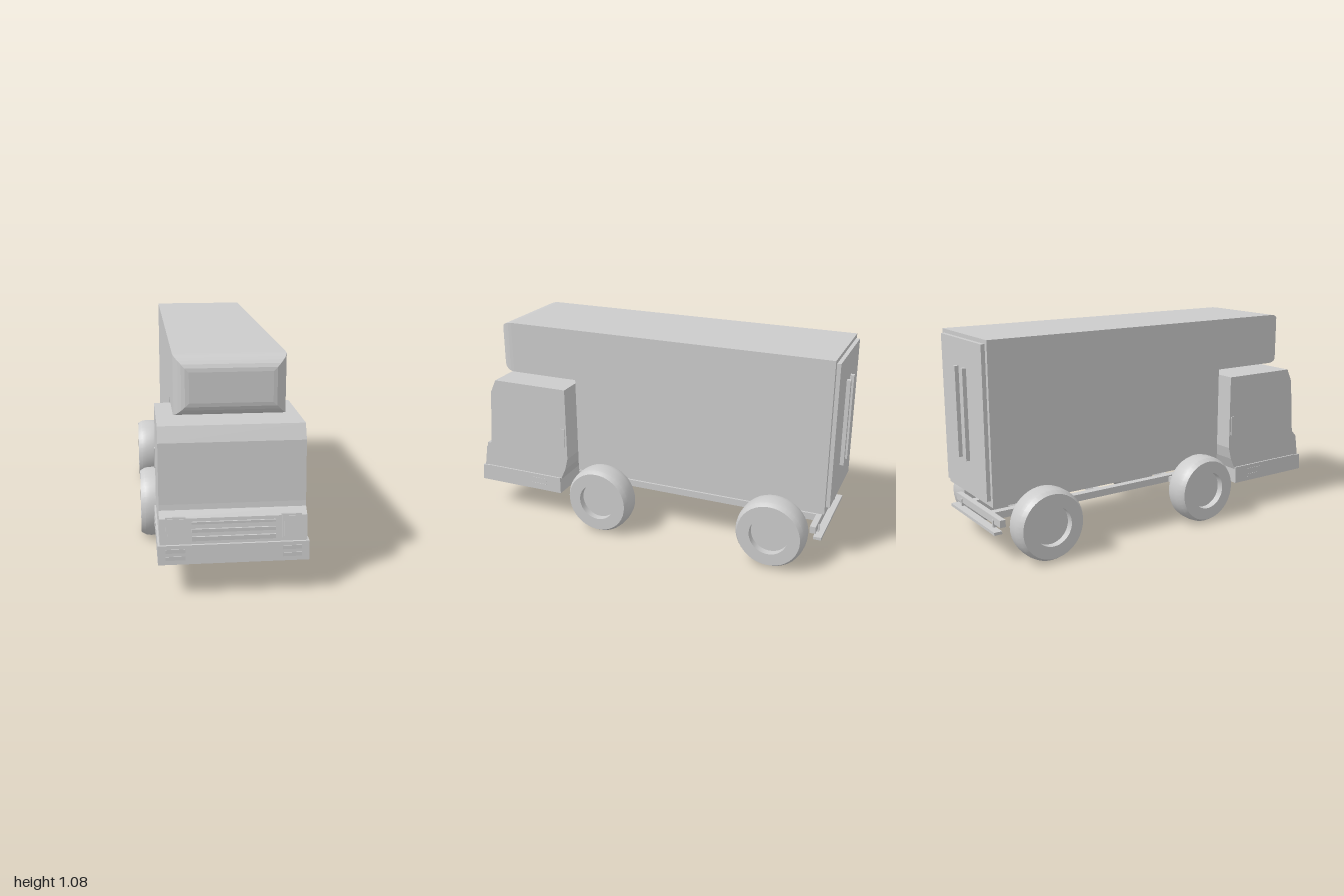
import * as THREE from 'three';
import { toCreasedNormals } from 'three/addons/utils/BufferGeometryUtils.js';

const mat = new THREE.MeshStandardMaterial({ color: 0xcccccc });
const flat = new THREE.MeshStandardMaterial({ color: 0xcccccc, flatShading: true });

export function createModel() {
  const truck = new THREE.Group();
  truck.name = 'boxTruck';

  const add = (name, geometry, parent = truck, material = flat) => {
    const mesh = new THREE.Mesh(geometry, material);
    mesh.name = name;
    parent.add(mesh);
    return mesh;
  };
  // box given by its min and max on each axis
  const block = (name, x0, x1, y0, y1, z0, z1, parent) => {
    const mesh = add(name, new THREE.BoxGeometry(x1 - x0, y1 - y0, z1 - z0), parent);
    mesh.position.set((x0 + x1) / 2, (y0 + y1) / 2, (z0 + z1) / 2);
    return mesh;
  };
  // side profile of [z, y] points, extruded across the width
  const sideExtrude = (name, points, width, x = 0, parent = truck) => {
    const shape = new THREE.Shape(points.map(([z, y]) => new THREE.Vector2(z, y)));
    const g = new THREE.ExtrudeGeometry(shape, { depth: width, bevelEnabled: false });
    g.translate(0, 0, -width / 2).rotateY(-Math.PI / 2).translate(x, 0, 0);
    return add(name, g, parent);
  };

  // Cargo body with the overhang above the cab
  sideExtrude('cargoBody', [
    [-0.96, 0.28], [0.42, 0.28], [0.42, 0.805], [0.8, 0.805], [0.8, 1.08], [-0.96, 1.08],
  ], 0.512);
  add('cargoNose', noseGeometry(), truck, flat);

  // Rear door and its two long handles
  block('rearDoor', -0.235, 0.23, 0.31, 1.06, -0.98, -0.955);
  for (const x of [-0.047, 0.041]) block('doorHandle', x - 0.012, x + 0.012, 0.47, 0.925, -1, -0.975);

  // Cab
  const cab = new THREE.Group();
  cab.name = 'cab';
  cab.position.x = 0.004;
  truck.add(cab);
  sideExtrude('cabShell', [
    [0.49, 0.24], [0.982, 0.24], [0.962, 0.365], [0.932, 0.395], [0.928, 0.42],
    [0.905, 0.7], [0.872, 0.77], [0.443, 0.77], [0.443, 0.37], [0.46, 0.305],
  ], 0.67, 0, cab);
  sideExtrude('frontBumper', [
    [0.49, 0.16], [0.998, 0.16], [0.99, 0.248], [0.94, 0.252], [0.49, 0.252],
  ], 0.688, 0, cab);
  // Grille bars
  for (const [y0, y1] of [[0.264, 0.284], [0.302, 0.318], [0.339, 0.35]]) {
    const z = 0.982 - (y0 - 0.24) * 0.16;
    block('grilleBar', -0.19, 0.19, y0, y1, z - 0.02, z + 0.006, cab);
  }
  for (const s of [-1, 1]) {
    // Headlight leaning back with the cab front
    const light = new THREE.Group();
    light.name = 'headlight';
    light.position.set(s * 0.263, 0.32, 0.97);
    light.rotation.x = -0.16;
    cab.add(light);
    block('headlightFrame', -0.045, 0.045, -0.055, 0.055, -0.03, 0.012, light);
    block('headlightLens', -0.037, 0.037, -0.047, 0.047, 0.01, 0.017, light);
    // Bumper slots at the front and side
    for (const y of [0.18, 0.213]) {
      const z = 0.994 - (y - 0.18) * 0.09;
      block('bumperSlot', s * 0.265 - 0.044, s * 0.265 + 0.044, y, y + 0.018, z - 0.02, z + 0.004, cab);
      block('bumperSideSlot', s * 0.34 - 0.006, s * 0.34 + 0.006, y, y + 0.018, 0.58, 0.67, cab);
    }
    block('cabDoorHandle', s * 0.335 - 0.005, s * 0.335 + 0.005, 0.443, 0.547, 0.453, 0.476, cab);
  }

  // Chassis rails and cross members
  for (const s of [-1, 1]) block('chassisRail', s * 0.11 - 0.02, s * 0.11 + 0.02, 0.17, 0.207, -0.9, 0.6);
  for (const z of [0.38, -0.27]) block('crossMember', -0.11, 0.11, 0.172, 0.205, z - 0.018, z + 0.018);

  // Rear under-run bar
  block('rearBeam', -0.25, 0.268, 0.17, 0.207, -0.925, -0.895);
  block('rearStepBar', -0.25, 0.268, 0.138, 0.153, -0.957, -0.915);
  for (const x of [-0.177, 0.2]) block('rearBracket', x - 0.007, x + 0.007, 0.145, 0.19, -0.93, -0.91);

  // Axles and wheels
  const wheel = wheelGeometry();
  for (const [z, axleZ] of [[0.237, 0.193], [-0.718, -0.733]]) {
    block('axle', -0.3, 0.3, 0.17, 0.2, axleZ - 0.015, axleZ + 0.015);
    for (const s of [-1, 1]) {
      const mesh = add('wheel', wheel, truck, mat);
      mesh.position.set(s * 0.337, 0.181, z);
      if (s < 0) mesh.rotation.y = Math.PI;
    }
  }
  return truck;
}

// Rounded front of the overhang: rectangles shrinking along a quarter ellipse
function noseGeometry() {
  const pos = [], index = [], steps = 6;
  for (let i = 0; i <= steps; i++) {
    const a = (i / steps) * Math.PI / 2;
    const inset = 0.068 * (1 - Math.cos(a)), z = 0.8 + 0.084 * Math.sin(a);
    const x = 0.256 - inset, y0 = 0.805 + inset, y1 = 1.08 - inset;
    pos.push(-x, y0, z, x, y0, z, x, y1, z, -x, y1, z);
    if (i === 0) continue;
    for (let k = 0; k < 4; k++) {
      const p = (i - 1) * 4 + k, q = (i - 1) * 4 + (k + 1) % 4;
      index.push(p, q, q + 4, p, q + 4, p + 4);
    }
  }
  const f = steps * 4;
  index.push(f, f + 1, f + 2, f, f + 2, f + 3);
  const g = new THREE.BufferGeometry();
  g.setAttribute('position', new THREE.Float32BufferAttribute(pos, 3));
  g.setIndex(index);
  const out = g.toNonIndexed();
  out.computeVertexNormals();
  return out;
}

// Tyre with chamfered shoulders and a recessed hub on the outer side
function wheelGeometry() {
  const profile = [
    [0, -0.068], [0.163, -0.068], [0.177, -0.045], [0.181, -0.02], [0.181, 0.02],
    [0.177, 0.045], [0.163, 0.068], [0.1, 0.068], [0.1, 0.03], [0, 0.03],
  ].map(([r, y]) => new THREE.Vector2(r, y));
  const g = new THREE.LatheGeometry(profile, 40).rotateZ(-Math.PI / 2);
  return toCreasedNormals(g, 0.4);
}
